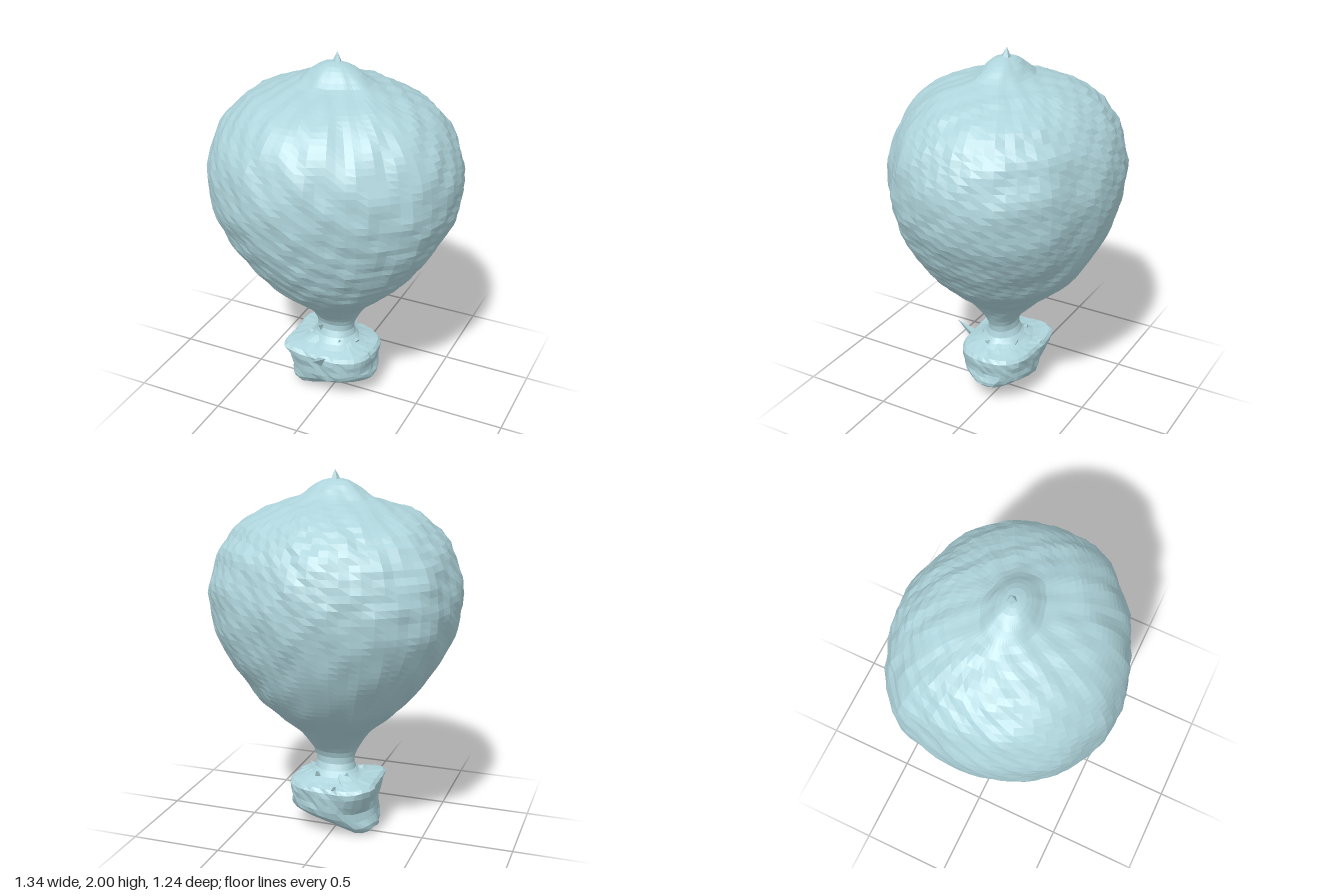
import * as THREE from 'three';

const paleBlue = new THREE.MeshStandardMaterial({ color: 0xaed4db });
paleBlue.name = 'paleBlue';

const { smoothstep, lerp } = THREE.MathUtils;

// Faceted mesh from any geometry
function part(name, geometry) {
  const flat = geometry.index ? geometry.toNonIndexed() : geometry;
  flat.computeVertexNormals();
  const mesh = new THREE.Mesh(flat, paleBlue);
  mesh.name = name;
  return mesh;
}

// Move every vertex by a rule
function deform(geometry, rule) {
  const pos = geometry.attributes.position;
  const v = new THREE.Vector3();
  for (let i = 0; i < pos.count; i++) {
    rule(v.fromBufferAttribute(pos, i));
    pos.setXYZ(i, v.x, v.y, v.z);
  }
  return geometry;
}

// Smooth lumpy noise, about -1 to 1
function lumps(x, y, z) {
  return 0.3 * Math.sin(9 * x + 4 * y + 1) * Math.sin(8 * z - 5 * y)
    + 0.35 * Math.sin(19 * x - 13 * z + 2) * Math.sin(23 * y + 7 * z)
    + 0.35 * Math.sin(41 * x + 17 * y) * Math.sin(37 * z + 29 * y + 1);
}

// Outline radius of the envelope, every 22.5 degrees from +z towards +x
const outline = [0.61, 0.585, 0.61, 0.66, 0.67, 0.663, 0.65, 0.605,
  0.62, 0.635, 0.665, 0.672, 0.67, 0.663, 0.67, 0.64];

function outlineScale(x, z) {
  const t = ((Math.atan2(x, z) / (2 * Math.PI) + 1) % 1) * 16;
  const i = Math.floor(t), f = t - i, s = f * f * (3 - 2 * f);
  // A seam ridge stands out on the right towards the back
  const ridge = 0.025 * Math.exp(-(((t - 10.67) / 0.4) ** 2));
  return (lerp(outline[i % 16], outline[(i + 1) % 16], s) + ridge) / 0.667;
}

function makeEnvelope() {
  const profile = new THREE.SplineCurve([
    [0.17, 0.325], [0.12, 0.36], [0.105, 0.42], [0.135, 0.5], [0.21, 0.6], [0.32, 0.7],
    [0.42, 0.8], [0.56, 1], [0.645, 1.19], [0.667, 1.35], [0.645, 1.5],
    [0.585, 1.63], [0.475, 1.74], [0.32, 1.815], [0.2, 1.855], [0.14, 1.9],
    [0.075, 1.94], [0, 1.955],
  ].map(([r, y]) => new THREE.Vector2(r, y))).getSpacedPoints(60);
  profile[profile.length - 1].x = 0;
  return deform(new THREE.LatheGeometry(profile, 72), (v) => {
    const r = Math.hypot(v.x, v.z);
    if (r < 1e-4) return;
    // Uneven outline at the widest part, rounder below, narrow from front to back at the neck
    const n = 0.017 * lumps(v.x, v.y, v.z) * Math.min(1, r / 0.3);
    const s = lerp(1, outlineScale(v.x, v.z), smoothstep(v.y, 0.75, 1.25)) * (1 + n / r);
    const neck = 1 - 0.28 * Math.exp(-(((v.y - 0.44) / 0.09) ** 2));
    const crown = 1 - 0.2 * smoothstep(v.y, 1.8, 1.87);
    v.x *= s;
    v.z *= s * neck * crown;
    v.y += n * 0.6 * (v.y > 1.6 ? 1 : 0.3);
  });
}

function makeBasket() {
  const profile = [
    [0, 0], [0.3, 0], [0.6, 0], [0.86, 0.005], [0.98, 0.025], [1, 0.055], [0.97, 0.1],
    [0.95, 0.15], [0.96, 0.2], [0.99, 0.25], [1, 0.285], [0.94, 0.305],
    [0.78, 0.318], [0.6, 0.332], [0.42, 0.36],
  ].map(([r, y]) => new THREE.Vector2(r, y));
  return deform(new THREE.LatheGeometry(profile, 40), (v) => {
    const r = Math.hypot(v.x, v.z);
    if (r > 1e-4) {
      // Square right end, rounder left end
      const p = v.x < 0 ? 4 : 2.6;
      const c = Math.abs(v.x) / r, d = Math.abs(v.z) / r;
      const k = (c ** p + d ** p) ** (-1 / p);
      // Right corners flare at the rim and sink in below it, most of all at the back
      const corner = v.x < 0 ? 4 * c * c * d * d : 0;
      const flare = 0.08 * smoothstep(v.y, 0.2, 0.28);
      const hollow = (v.z < 0 ? 0.22 : 0.08) * Math.exp(-(((v.y - 0.13) / 0.07) ** 2));
      const w = k * (1 + corner * (flare - hollow));
      v.x *= 0.245 * w;
      v.z *= 0.208 * w * (0.36 + 0.64 * smoothstep(v.y, -0.03, 0.14));
    }
    // Underside rises towards the left, rim lifts at the right end
    const low = 1 - smoothstep(v.y, 0, 0.28);
    v.y += low * 0.27 * Math.abs(v.x + 0.16);
    if (v.y > 0.24) v.y += 0.17 * Math.max(0, -v.x - 0.1) * r;
    const n = 0.012 * lumps(v.x * 2, v.y * 2, v.z * 2);
    v.x += n;
    v.z -= n;
    v.y = Math.max(0, v.y + n * 0.5);
  });
}

// Thin pointed spike between two points
function shard(base, tip, radius, sides = 3) {
  const a = new THREE.Vector3(...base), b = new THREE.Vector3(...tip);
  const dir = b.clone().sub(a), length = dir.length();
  const geo = new THREE.ConeGeometry(radius, length, sides);
  geo.translate(0, length / 2, 0);
  geo.applyQuaternion(new THREE.Quaternion().setFromUnitVectors(
    new THREE.Vector3(0, 1, 0), dir.normalize()));
  return geo.translate(a.x, a.y, a.z);
}

export function createModel() {
  const model = new THREE.Group();
  model.name = 'hotAirBalloon';
  model.add(part('envelope', makeEnvelope()));
  model.add(part('crownTip', shard([0, 1.94, -0.01], [0, 2, -0.015], 0.03, 5)));
  model.add(part('basket', makeBasket()));

  // Ragged spikes around the basket rim and neck
  const rim = new THREE.Group();
  rim.name = 'rimSpikes';
  [
    [[0.01, 0.27, 0.18], [0, 0.335, 0.305], 0.035],
    [[-0.05, 0.28, -0.17], [-0.06, 0.335, -0.215], 0.035],
    [[-0.06, 0.4, 0.05], [-0.06, 0.44, 0.105], 0.03],
    [[0.05, 0.31, 0.07], [0.07, 0.375, 0.1], 0.04],
    [[0.1, 0.31, 0.02], [0.16, 0.365, 0.03], 0.045],
    [[-0.1, 0.31, 0.05], [-0.14, 0.37, 0.06], 0.045],
    [[0.06, 0.31, -0.08], [0.07, 0.375, -0.13], 0.045],
    [[-0.08, 0.31, -0.07], [-0.1, 0.38, -0.1], 0.045],
  ].forEach(([base, tip, radius]) => rim.add(part('rimSpike', shard(base, tip, radius))));
  model.add(rim);
  return model;
}
